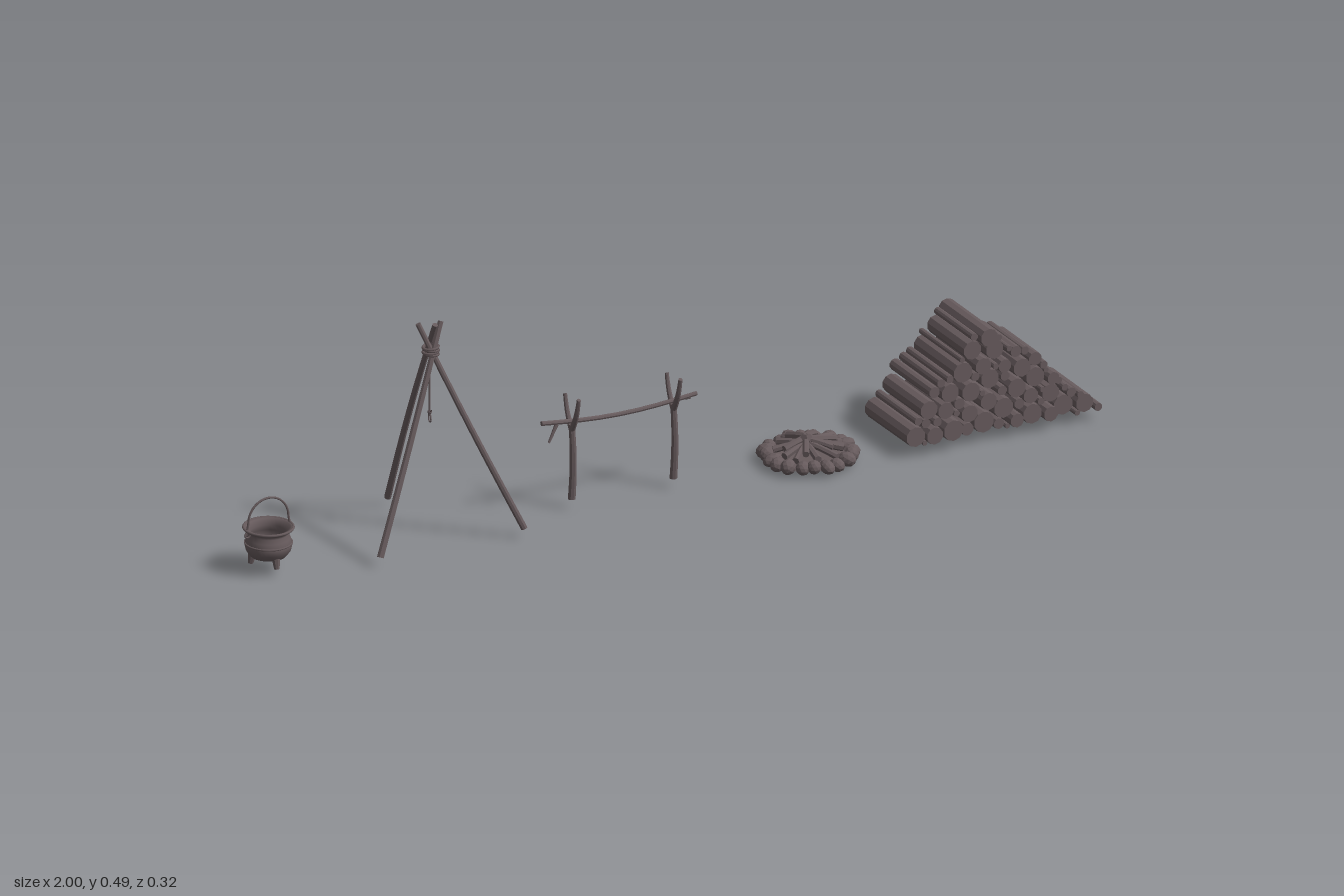
import * as THREE from 'three';

const flat = new THREE.MeshStandardMaterial({ color: 0x665a5c, flatShading: true });
const smooth = new THREE.MeshStandardMaterial({ color: 0x665a5c, side: THREE.DoubleSide });
const V = (x, y, z) => new THREE.Vector3(x, y, z);

let seed = 7;
const rand = (a = 0, b = 1) => {
  seed = (seed * 16807) % 2147483647;
  return a + (b - a) * (seed / 2147483647);
};

function add(parent, name, geometry, material = flat) {
  const mesh = new THREE.Mesh(geometry, material);
  mesh.name = name;
  parent.add(mesh);
  return mesh;
}

function group(parent, name, x, z) {
  const g = new THREE.Group();
  g.name = name;
  g.position.set(x, 0, z);
  parent.add(g);
  return g;
}

// Tapered, capped branch from a to b, bowed sideways by the vector bend
function stick(parent, name, a, b, r0, r1, bend = V(0, 0, 0), sides = 8) {
  const length = a.distanceTo(b);
  const geo = new THREE.CylinderGeometry(r1, r0, length, sides, 8);
  const turn = new THREE.Quaternion().setFromUnitVectors(V(0, 1, 0), b.clone().sub(a).normalize());
  const mid = a.clone().lerp(b, 0.5);
  const pos = geo.attributes.position;
  const v = V(0, 0, 0);
  for (let i = 0; i < pos.count; i++) {
    v.fromBufferAttribute(pos, i);
    const t = v.y / length + 0.5;
    v.applyQuaternion(turn).add(mid).addScaledVector(bend, Math.sin(Math.PI * t));
    pos.setXYZ(i, v.x, v.y, v.z);
  }
  geo.computeVertexNormals();
  return add(parent, name, geo);
}

function ring(parent, name, r, tube, y) {
  const mesh = add(parent, name, new THREE.TorusGeometry(r, tube, 6, 28), smooth);
  mesh.rotation.x = Math.PI / 2;
  mesh.position.y = y;
  return mesh;
}

function cauldron(root) {
  const g = group(root, 'cauldron', -0.943, 0.04);
  // Outer wall, flared lip, then the inside wall
  const profile = [[0, 0.03], [0.022, 0.031], [0.038, 0.038], [0.048, 0.051], [0.051, 0.064], [0.047, 0.079],
    [0.042, 0.088], [0.044, 0.094], [0.054, 0.101], [0.053, 0.104], [0.046, 0.102], [0.038, 0.09],
    [0.043, 0.077], [0.046, 0.062], [0.036, 0.042], [0, 0.036]];
  add(g, 'potBody', new THREE.LatheGeometry(profile.map(p => new THREE.Vector2(...p)), 32), smooth);
  ring(g, 'potRim', 0.053, 0.003, 0.102);
  ring(g, 'potBand', 0.05, 0.0022, 0.068);
  for (let i = 0; i < 3; i++) {
    const a = Math.PI / 2 + i * Math.PI * 2 / 3;
    stick(g, 'potFoot', V(Math.cos(a) * 0.038, 0.019, Math.sin(a) * 0.038),
      V(Math.cos(a) * 0.033, 0.045, Math.sin(a) * 0.033), 0.006, 0.01);
  }
  // Wire bail with a lug on each side
  const arc = [];
  for (let i = 0; i <= 16; i++) {
    const a = Math.PI * i / 16;
    arc.push(V(Math.cos(a) * 0.048, 0.118 + Math.sin(a) * 0.05, 0));
  }
  const path = new THREE.CatmullRomCurve3([V(0.053, 0.092, 0), ...arc, V(-0.053, 0.092, 0)]);
  add(g, 'potHandle', new THREE.TubeGeometry(path, 48, 0.0024, 6), smooth);
  for (const s of [-1, 1]) {
    add(g, 'handleLug', new THREE.TorusGeometry(0.006, 0.002, 6, 12), smooth).position.set(s * 0.05, 0.092, 0);
  }
}

function tripod(root) {
  const g = group(root, 'tripod', -0.555, 0.04);
  stick(g, 'tripodLeg', V(-0.172, 0.025, 0.097), V(0.026, 0.49, -0.004), 0.0075, 0.006, V(0.004, 0, -0.003));
  stick(g, 'tripodLeg', V(0.172, 0.025, 0.097), V(-0.024, 0.49, -0.012), 0.0075, 0.006, V(-0.004, 0, 0.003));
  stick(g, 'tripodLeg', V(0, 0.023, -0.194), V(0, 0.495, 0.02), 0.0075, 0.006, V(0, 0.003, -0.006));
  // Lashing, hanging cord and hook
  for (let i = 0; i < 4; i++) {
    ring(g, 'lashing', 0.0165, 0.003, 0.423 + i * 0.005).rotation.y = (i % 2 ? 1 : -1) * 0.1;
  }
  stick(g, 'cord', V(0, 0.285, -0.005), V(0, 0.43, -0.005), 0.002, 0.002, V(0, 0, 0), 6);
  add(g, 'knot', new THREE.IcosahedronGeometry(0.005, 1)).position.set(0, 0.287, -0.005);
  const hook = new THREE.CatmullRomCurve3([V(0, 0.293, 0.003), V(0, 0.288, -0.004), V(0, 0.279, -0.009),
    V(0, 0.269, -0.009), V(0, 0.265, -0.004), V(0, 0.269, 0.001), V(0, 0.279, -0.001), V(0, 0.287, -0.005)]);
  add(g, 'hook', new THREE.TubeGeometry(hook, 28, 0.0018, 6), smooth);
}

function spitRack(root) {
  const g = group(root, 'spitRack', 0, 0.04);
  for (const x of [-0.218, 0.025]) {
    stick(g, 'rackPost', V(x, 0.025, 0), V(x, 0.195, 0), 0.0085, 0.007, V(0.002, 0, 0.003));
    // Forked top, spreading front and back
    stick(g, 'postFork', V(x, 0.182, 0), V(x, 0.262, 0.032), 0.007, 0.0045, V(0, -0.003, 0.004));
    stick(g, 'postFork', V(x, 0.182, 0), V(x, 0.255, -0.03), 0.0065, 0.0045, V(0, -0.003, -0.004));
  }
  stick(g, 'crossbar', V(-0.292, 0.212, 0.003), V(0.08, 0.208, 0), 0.0055, 0.005, V(0, -0.013, 0));
  stick(g, 'barTwig', V(-0.255, 0.203, 0.002), V(-0.276, 0.166, 0.006), 0.0045, 0.0025);
  stick(g, 'barTwig', V(0.04, 0.204, 0), V(0.068, 0.198, -0.006), 0.004, 0.0025);
}

function campfire(root) {
  const g = group(root, 'campfire', 0.345, 0.045);
  const bed = add(g, 'ashBed', new THREE.CylinderGeometry(0.075, 0.088, 0.012, 24));
  bed.position.y = 0.021;
  // Ring of rough stones
  const stones = 20;
  for (let i = 0; i < stones; i++) {
    const a = (i + rand(-0.15, 0.15)) / stones * Math.PI * 2;
    const stone = add(g, 'stone', new THREE.IcosahedronGeometry(1, 1));
    stone.scale.set(rand(0.016, 0.024), rand(0.014, 0.018), rand(0.014, 0.018));
    const r = rand(0.083, 0.093);
    stone.position.set(Math.cos(a) * r, rand(0.018, 0.027), Math.sin(a) * r);
    stone.rotation.set(rand(-0.25, 0.25), -a, rand(-0.25, 0.25));
  }
  // Split logs leaning in toward the middle, in two layers
  for (let i = 0; i < 17; i++) {
    const upper = i >= 11;
    const a = (upper ? i / 6 : i / 11) * Math.PI * 2 + rand(-0.2, 0.2);
    const r = upper ? rand(0.055, 0.065) : rand(0.07, 0.082);
    const top = upper ? rand(0.056, 0.066) : rand(0.043, 0.05);
    const size = rand(0.007, 0.01);
    stick(g, 'fireLog', V(Math.cos(a) * r, upper ? 0.045 : 0.035, Math.sin(a) * r),
      V(-Math.cos(a) * 0.012 - 0.008, top, -Math.sin(a) * 0.012), size, size * 0.85, V(0, 0.002, 0), 7);
  }
}

function woodpile(root) {
  const g = group(root, 'woodpile', 0, 0.042);
  const floor = 0.025;
  const outline = [[0.53, 0.06], [0.56, 0.1], [0.6, 0.165], [0.64, 0.18], [0.69, 0.255], [0.72, 0.266], [0.755, 0.26],
    [0.785, 0.212], [0.845, 0.195], [0.9, 0.125], [0.925, 0.095], [0.965, 0.075], [1.0, 0.04]];
  const height = x => {
    for (let i = 1; i < outline.length; i++) {
      const [x0, y0] = outline[i - 1], [x1, y1] = outline[i];
      if (x >= x0 && x <= x1) return y0 + (y1 - y0) * (x - x0) / (x1 - x0);
    }
    return 0;
  };
  const fits = (x, y, r) => {
    for (let i = 0; i < 12; i++) {
      const a = i / 12 * Math.PI * 2;
      if (y + Math.sin(a) * r > height(x + Math.cos(a) * r)) return false;
    }
    return true;
  };
  // Pack log ends under the outline, biggest first
  const logs = [];
  for (let r = 0.024; r > 0.0055; r -= 0.0006) {
    const limit = r > 0.014 ? 3 : 400;
    let placed = 0;
    for (let n = 0; n < 2500 && placed < limit; n++) {
      const x = rand(0.53 + r, 1 - r);
      const y = n % 3 ? rand(floor + r, 0.266 - r) : floor + r;
      if (!fits(x, y, r)) continue;
      if (logs.some(l => Math.hypot(l.x - x, l.y - y) < l.r + r - 0.0005)) continue;
      logs.push({ x, y, r });
      placed++;
    }
  }
  for (const { x, y, r } of logs) {
    const half = rand(0.078, 0.096);
    const shift = rand(-0.004, 0.004);
    stick(g, 'log', V(x, y, shift - half), V(x, y, shift + half), r, r * rand(0.94, 1), V(0, 0, 0), 10);
  }
}

export function createModel() {
  const root = new THREE.Group();
  root.name = 'campSet';
  cauldron(root);
  tripod(root);
  spitRack(root);
  campfire(root);
  woodpile(root);
  return root;
}
